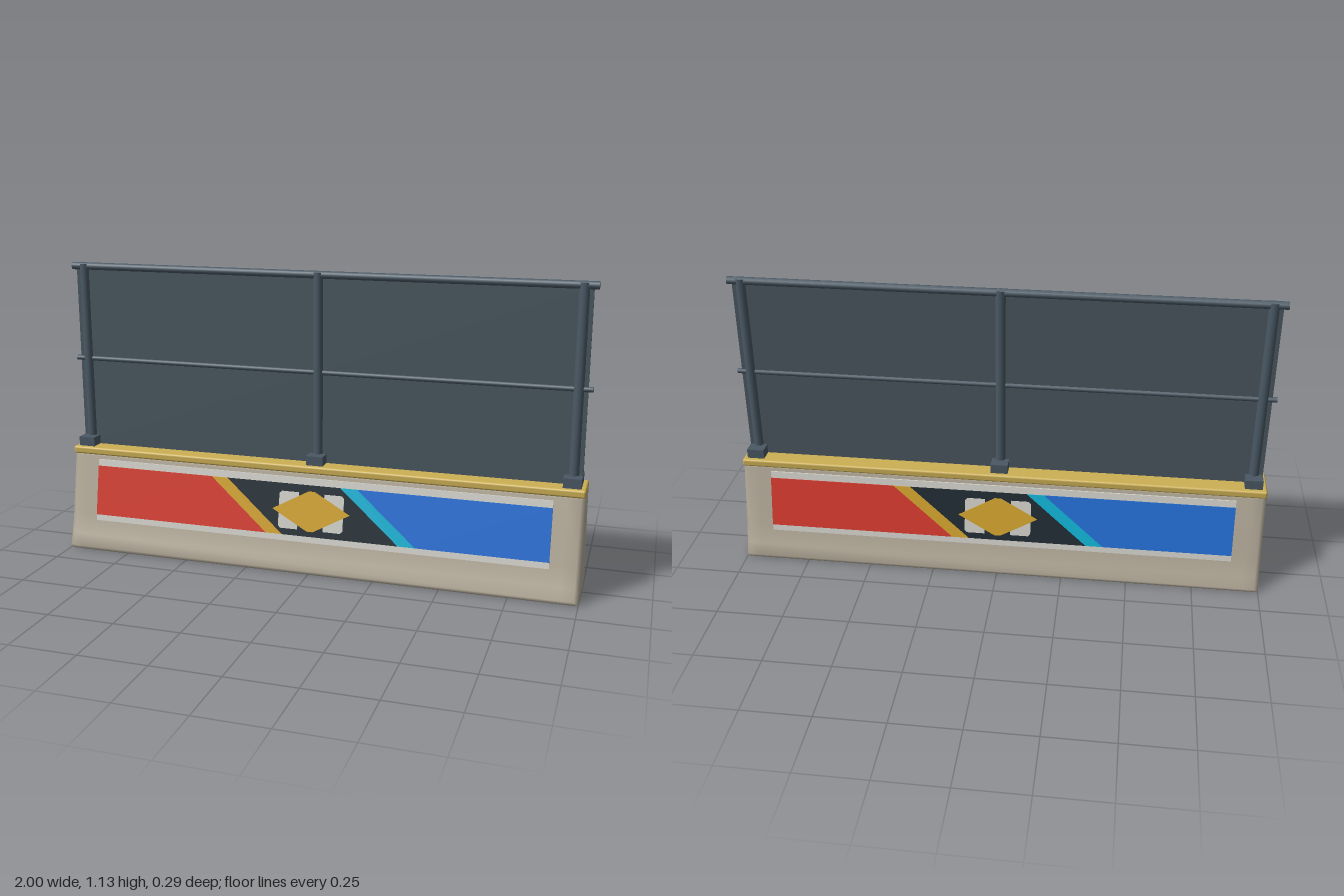
import * as THREE from 'three';
import { RoundedBoxGeometry } from 'three/addons/geometries/RoundedBoxGeometry.js';

const material = (name, color) => {
  const m = new THREE.MeshStandardMaterial({ color });
  m.name = name;
  return m;
};

// Barrier body: mirrored flared cross-section lofted along x, narrower at the ends
function bodyGeometry() {
  const outer = [[0.135, 0], [0.144, 0.015], [0.128, 0.06], [0.117, 0.1], [0.108, 0.14], [0.066, 0.37], [0.062, 0.38]];
  const inner = [[0.133, 0], [0.135, 0.015], [0.119, 0.06], [0.108, 0.1], [0.098, 0.14], [0.055, 0.37], [0.053, 0.38]];
  const stations = [[-1, inner], [-0.985, outer], [-0.94, outer], [0.94, outer], [0.985, outer], [1, inner]];
  const pos = [], index = [], n = outer.length * 2;
  for (const [x, half] of stations) {
    half.forEach(([z, y]) => pos.push(x, y, z));
    [...half].reverse().forEach(([z, y]) => pos.push(x, y, -z));
  }
  const left = pos.length / 3, right = left + 1, last = (stations.length - 1) * n;
  pos.push(-1, 0.19, 0, 1, 0.19, 0);
  for (let j = 0; j < n; j++) {
    const k = (j + 1) % n;
    for (let i = 0; i < last; i += n) {
      index.push(i + j, i + n + j, i + k, i + k, i + n + j, i + n + k);
    }
    index.push(left, j, k, right, last + k, last + j);
  }
  const g = new THREE.BufferGeometry();
  g.setAttribute('position', new THREE.Float32BufferAttribute(pos, 3));
  g.setIndex(index);
  g.computeVertexNormals();
  return g;
}

// Thin plate drawn in x/y and sheared to follow the sloping side of the body
function plateGeometry(points, offset, depth) {
  const shape = new THREE.Shape(points.map(([x, y]) => new THREE.Vector2(x, y)));
  const g = new THREE.ExtrudeGeometry(shape, { depth, bevelEnabled: false });
  const p = g.attributes.position;
  for (let i = 0; i < p.count; i++) {
    p.setZ(i, p.getZ(i) + offset + 0.066 + 0.183 * (0.37 - p.getY(i)));
  }
  g.computeVertexNormals();
  return g;
}

export function createModel() {
  const root = new THREE.Group();
  root.name = 'barrierWithFence';
  const stone = material('stone', 0xb8af9d);
  const brass = material('brass', 0xcdb055);
  const steel = material('steel', 0x4a5965);
  const screen = material('screen', 0x4a5760);
  const red = material('red', 0xd93b2e);
  const blue = material('blue', 0x2470d8);
  const cyan = material('cyan', 0x10b6d8);
  const gold = material('gold', 0xd6a62e);
  const dark = material('dark', 0x212c34);
  const white = material('white', 0xd3d2cb);

  const add = (parent, name, geometry, mat, x = 0, y = 0, z = 0) => {
    const mesh = new THREE.Mesh(geometry, mat);
    mesh.name = name;
    mesh.position.set(x, y, z);
    parent.add(mesh);
    return mesh;
  };

  add(root, 'barrierBody', bodyGeometry(), stone);
  add(root, 'cap', new RoundedBoxGeometry(2, 0.029, 0.146, 3, 0.008), brass, 0, 0.391, 0);

  // Fence
  const fence = new THREE.Group();
  fence.name = 'fence';
  root.add(fence);
  add(fence, 'screenPanel', new THREE.BoxGeometry(1.966, 0.71, 0.008), screen, 0, 0.757, 0);
  for (const x of [-0.95, 0, 0.95]) {
    add(fence, 'postFoot', new THREE.BoxGeometry(0.065, 0.038, 0.11), steel, x, 0.422, 0);
    add(fence, 'post', new THREE.CylinderGeometry(0.019, 0.019, 0.72, 16), steel, x, 0.765, 0);
  }
  for (const [name, y, r] of [['topRail', 1.116, 0.0145], ['middleRail', 0.753, 0.01]]) {
    add(fence, name, new THREE.CylinderGeometry(r, r, 2, 12), steel, 0, y, 0).rotation.z = Math.PI / 2;
  }

  // Painted panel, the same on both sides
  const lo = 0.143, hi = 0.335;
  const corner = (s) => [[0.05, 0.167], [0.118, 0.167], [0.127, 0.176], [0.127, 0.297], [0.118, 0.306], [0.05, 0.306]]
    .map(([x, y]) => [s * x, y]);
  const plates = [
    ['panelBoard', white, 0, 0.005, [[-0.89, 0.12], [0.89, 0.12], [0.89, 0.36], [-0.89, 0.36]]],
    ['redField', red, 0.005, 0.002, [[-0.89, lo], [-0.175, lo], [-0.405, hi], [-0.89, hi]]],
    ['goldStripe', gold, 0.005, 0.002, [[-0.175, lo], [-0.11, lo], [-0.34, hi], [-0.405, hi]]],
    ['darkField', dark, 0.005, 0.002, [[-0.11, lo], [0.34, lo], [0.11, hi], [-0.34, hi]]],
    ['cyanStripe', cyan, 0.005, 0.002, [[0.34, lo], [0.405, lo], [0.175, hi], [0.11, hi]]],
    ['blueField', blue, 0.005, 0.002, [[0.405, lo], [0.89, lo], [0.89, hi], [0.175, hi]]],
    ['whiteCornerLeft', white, 0.007, 0.0015, corner(1)],
    ['whiteCornerRight', white, 0.007, 0.0015, corner(-1)],
    ['goldDiamond', gold, 0.0085, 0.0015, [[-0.152, 0.238], [-0.012, 0.163], [0.012, 0.163], [0.152, 0.238], [0.012, 0.313], [-0.012, 0.313]]],
  ];
  for (const [side, turn] of [['frontPanel', 0], ['backPanel', Math.PI]]) {
    const panel = new THREE.Group();
    panel.name = side;
    panel.rotation.y = turn;
    root.add(panel);
    for (const [name, mat, offset, depth, points] of plates) {
      add(panel, name, plateGeometry(points, offset, depth), mat);
    }
  }
  return root;
}
